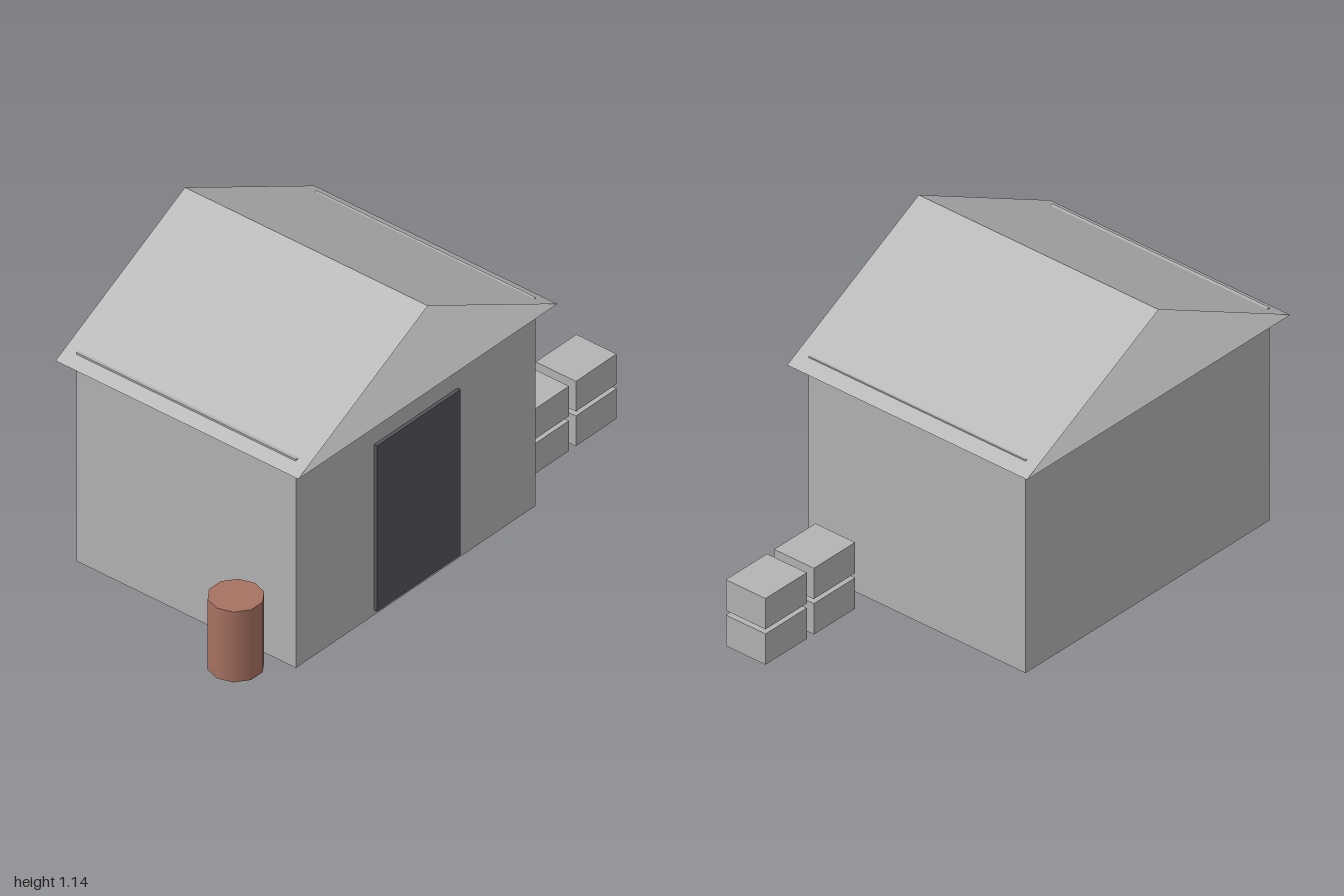
import * as THREE from 'three';

export function createModel() {
  const model = new THREE.Group();
  const grey = new THREE.MeshStandardMaterial({ color: 0xb3b3b3, side: THREE.DoubleSide });
  grey.name = 'concreteGrey';
  const dark = new THREE.MeshStandardMaterial({ color: 0x55545b });
  dark.name = 'doorCharcoal';
  const rust = new THREE.MeshStandardMaterial({ color: 0xa87262, side: THREE.DoubleSide });
  rust.name = 'barrelRust';

  const add = (name, geometry, material, x = 0, y = 0, z = 0) => {
    const mesh = new THREE.Mesh(geometry, material);
    mesh.name = name;
    mesh.position.set(x, y, z);
    model.add(mesh);
    return mesh;
  };
  // box given by its extents
  const box = (name, material, [x0, x1], [y0, y1], [z0, z1]) =>
    add(name, new THREE.BoxGeometry(x1 - x0, y1 - y0, z1 - z0), material,
      (x0 + x1) / 2, (y0 + y1) / 2, (z0 + z1) / 2);

  // shed body and door
  box('walls', grey, [-0.75, 0.46], [0, 0.831], [-0.47, 0.47]);
  box('door', dark, [-0.355, 0.065], [0.02, 0.68], [0.465, 0.483]);

  // roof: two full slopes, with end panels leaning in to the middle of the ridge
  const w = 0.653, d = 0.52, h = 0.342;
  const quad = (a, b, c, e) => [a, b, c, a, c, e];
  const fl = [-w, 0, d], fr = [w, 0, d], bl = [-w, 0, -d], br = [w, 0, -d];
  const ridgeFront = [0, h, d], ridgeBack = [0, h, -d], ridgeMid = [0, h, 0];
  const corners = [
    ...quad(fr, br, ridgeBack, ridgeFront),
    ...quad(bl, fl, ridgeFront, ridgeBack),
    ...quad(fl, bl, br, fr),
    fl, fr, ridgeMid,
    br, bl, ridgeMid,
  ];
  const roof = new THREE.BufferGeometry();
  roof.setAttribute('position', new THREE.Float32BufferAttribute(corners.flat(), 3));
  roof.computeVertexNormals();
  add('roof', roof, grey, -0.143, 0.8, 0);

  // barrel: open underneath, with a lid
  const side = add('barrelSide', new THREE.CylinderGeometry(0.095, 0.095, 0.28, 10, 1, true), rust, -0.905, 0.175, 0.345);
  side.rotation.y = Math.PI / 2;
  add('barrelLid', new THREE.CircleGeometry(0.095, 10).rotateX(-Math.PI / 2), rust, -0.905, 0.315, 0.345);

  // two stacks of crates
  for (const x of [0.55, 0.79])
    for (const y of [0.012, 0.15])
      box('crate', grey, [x, x + 0.205], [y, y + 0.12], [0.19, 0.362]);

  return model;
}
